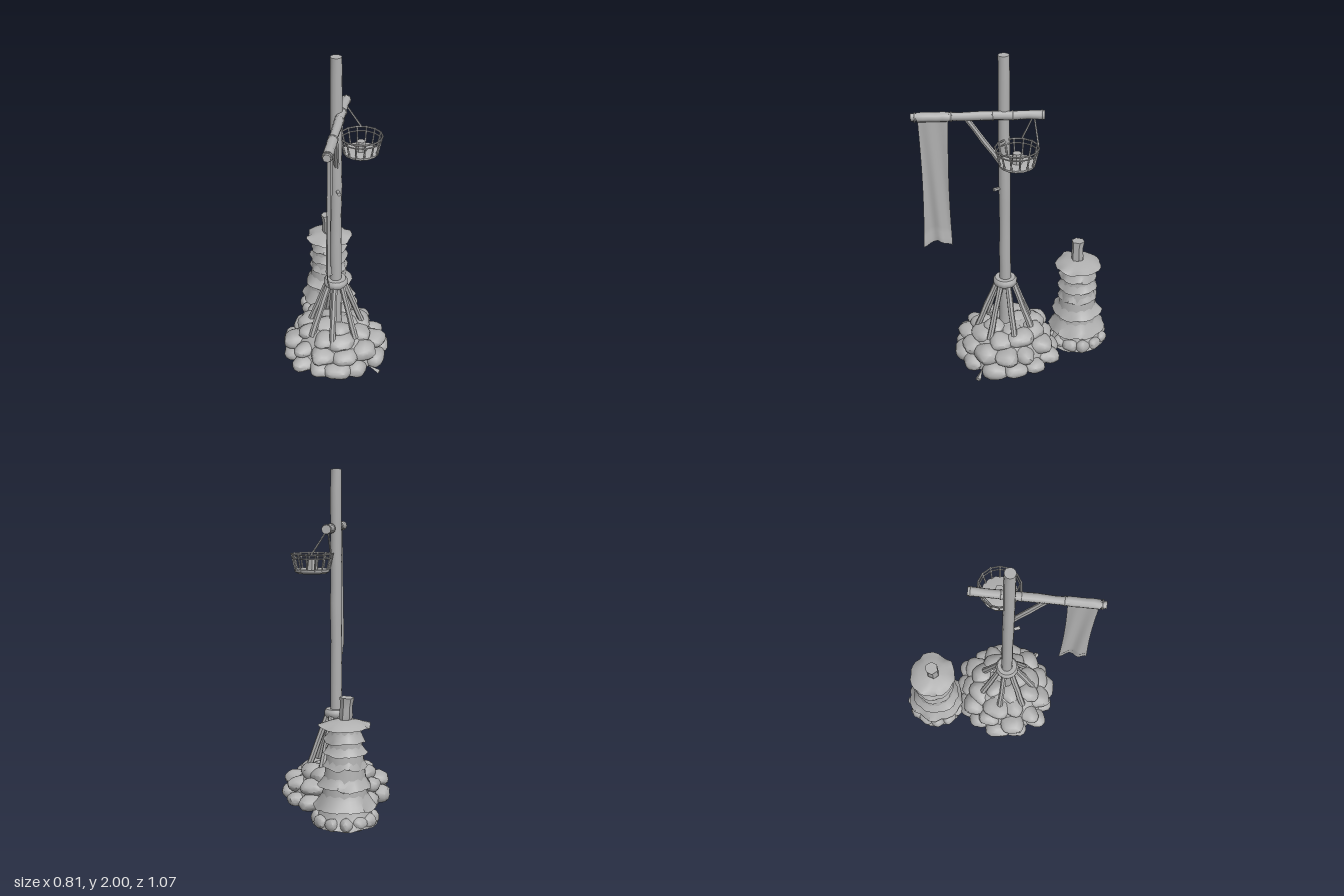
import * as THREE from 'three';
import { mergeVertices, toCreasedNormals } from 'three/addons/utils/BufferGeometryUtils.js';

const stone = new THREE.MeshStandardMaterial({ color: 0xb0b0b0, side: THREE.DoubleSide });
stone.name = 'plain grey';

const V = (x, y, z) => new THREE.Vector3(x, y, z);
const UP = V(0, 1, 0);

// repeatable noise, -1..1, from a number
function noise(n) {
  const s = Math.sin(n * 127.1 + 31.7) * 43758.5453;
  return (s - Math.floor(s)) * 2 - 1;
}

export function createModel() {
  const model = new THREE.Group();
  model.name = 'signalPost';

  function add(geo, name, parent = model, crease = 0.8) {
    const mesh = new THREE.Mesh(toCreasedNormals(geo, crease), stone);
    mesh.name = name;
    parent.add(mesh);
    return mesh;
  }
  function group(name, x = 0, y = 0, z = 0) {
    const g = new THREE.Group();
    g.name = name;
    g.position.set(x, y, z);
    model.add(g);
    return g;
  }
  // wooden pole from a to b, gently uneven along its length
  function beam(a, b, rA, rB, name, parent = model, sides = 8, segs = 1, wobble = 0) {
    const dir = b.clone().sub(a), len = dir.length();
    const geo = new THREE.CylinderGeometry(rB, rA, len, sides, segs);
    const p = geo.attributes.position;
    for (let i = 0; i < p.count; i++) {
      const k = Math.round((p.getY(i) / len + 0.5) * segs);
      const f = 1 + wobble * noise(k + len * 9);
      p.setXYZ(i, p.getX(i) * f + wobble * 0.02 * noise(k + 40), p.getY(i), p.getZ(i) * f + wobble * 0.02 * noise(k + 80));
    }
    geo.applyQuaternion(new THREE.Quaternion().setFromUnitVectors(UP, dir.normalize()));
    const m = add(geo, name, parent);
    m.position.copy(a).add(b).multiplyScalar(0.5);
    return m;
  }
  // lumpy boulder with a flat underside at floor level
  function boulder(parent, x, y, z, sx, sy, sz, yaw, seed) {
    let geo = new THREE.IcosahedronGeometry(1, 2);
    geo.deleteAttribute('normal');
    geo.deleteAttribute('uv');
    geo = mergeVertices(geo, 1e-3);
    const p = geo.attributes.position, v = V();
    for (let i = 0; i < p.count; i++) {
      v.fromBufferAttribute(p, i);
      const f = 1 + 0.1 * Math.sin(v.x * 3 + seed) + 0.08 * Math.sin(v.z * 4 + seed * 2) + 0.04 * noise(i + seed * 50);
      v.multiplyScalar(f).multiply(V(sx, sy, sz)).applyAxisAngle(UP, yaw);
      p.setXYZ(i, v.x, Math.max(v.y, 0.01 - y), v.z);
    }
    add(geo, 'boulder', parent, 0.7).position.set(x, y, z);
  }

  // rock mound: core dome and rings of boulders
  const mound = group('rockMound', 0.05, 0, 0.045);
  add(new THREE.LatheGeometry([[0, 0], [0.25, 0], [0.28, 0.03], [0.25, 0.13], [0.17, 0.22], [0, 0.25]]
    .map(([r, y]) => new THREE.Vector2(r, y)), 20), 'moundCore', mound);
  const rings = [
    // count, ring radius, height, boulder size x y z
    [13, 0.255, 0.055, 0.072, 0.05, 0.078],
    [11, 0.225, 0.13, 0.077, 0.05, 0.075],
    [8, 0.155, 0.195, 0.078, 0.05, 0.08],
    [4, 0.075, 0.225, 0.07, 0.04, 0.07],
  ];
  rings.forEach(([n, r, y, sx, sy, sz], k) => {
    for (let i = 0; i < n; i++) {
      const s = i + k * 20, a = (i + k * 0.5 + 0.15 * noise(s)) / n * Math.PI * 2;
      const rr = r * (1 + 0.05 * noise(s + 5)), g = 1 + 0.12 * noise(s + 9);
      boulder(mound, Math.cos(a) * rr, y + 0.012 * noise(s + 3), Math.sin(a) * rr * 1.06, sx * g, sy * g, sz * g, -a, s);
    }
  });
  // stray splinter beside the mound
  const splinter = add(new THREE.ConeGeometry(0.018, 0.09, 4), 'splinter');
  splinter.position.set(0.355, 0.03, 0.115);
  splinter.rotation.z = 1.3;

  // main post, collar and splayed struts
  const px = 0.055, pz = 0.05;
  beam(V(px, 0.2, pz), V(px, 2, pz), 0.037, 0.032, 'post', model, 12, 16, 0.07);
  const collar = add(new THREE.LatheGeometry([[0.03, 0.52], [0.062, 0.52], [0.073, 0.535], [0.073, 0.555], [0.062, 0.57], [0.03, 0.57]]
    .map(([r, y]) => new THREE.Vector2(r, y)), 14), 'collar');
  collar.position.set(px, 0, pz);
  const struts = group('struts');
  for (let i = 0; i < 7; i++) {
    const a = (i + 0.3) / 7 * Math.PI * 2, c = Math.cos(a), s = Math.sin(a);
    beam(V(px + c * 0.17, 0.2, pz + s * 0.18), V(px + c * 0.05, 0.54, pz + s * 0.05), 0.02, 0.018, 'strut', struts, 7, 4, 0.08);
  }
  beam(V(px + 0.02, 1.19, pz + 0.02), V(px + 0.05, 1.19, pz + 0.05), 0.009, 0.012, 'peg');

  // cross arm, lashings and brace
  const arm0 = V(0.0, 1.655, -0.17), arm1 = V(0.262, 1.655, 0.525);
  const armAt = t => arm0.clone().lerp(arm1, t);
  const armDir = arm1.clone().sub(arm0).normalize();
  beam(arm0, arm1, 0.026, 0.023, 'crossArm', model, 9, 8, 0.1);
  [0.02, 0.24, 0.39, 0.7, 0.97].forEach(t => {
    const m = add(new THREE.TorusGeometry(0.024, 0.006, 6, 12), 'lashing');
    m.position.copy(armAt(t));
    m.quaternion.setFromUnitVectors(V(0, 0, 1), armDir);
  });
  beam(V(px + 0.01, 1.34, pz + 0.01), armAt(0.6), 0.016, 0.016, 'brace', model, 7, 4, 0.08);

  // hanging cloth: folded sheet with a swallow-tail hem
  const side = V(armDir.z, 0, -armDir.x);
  const cloth = new THREE.PlaneGeometry(1, 1, 12, 24);
  const cp = cloth.attributes.position;
  for (let i = 0; i < cp.count; i++) {
    const u = cp.getX(i) * 2, d = 0.5 - cp.getY(i);
    const hem = 0.815 + 0.04 * (1 - Math.abs(u));
    const along = 0.836 + u * (0.116 - 0.014 * Math.sin(d * 3));
    const fold = 0.009 * Math.sin(u * 5 + d * 3) * (0.4 + d * 0.8) + (d > 0.94 ? 0.008 : 0);
    const q = armAt(along).addScaledVector(side, fold - 0.012 * d);
    cp.setXYZ(i, q.x, THREE.MathUtils.lerp(1.66, hem, d), q.z);
  }
  add(cloth, 'cloth', model, 1.2);
  beam(armAt(0.715), armAt(0.955), 0.028, 0.027, 'clothSleeve', model, 10, 5, 0.06);

  // fire basket: dish, ribs, double rim, candle and hanger
  const basket = group('basket', 0.157, 0, -0.058);
  add(new THREE.LatheGeometry([[0, 1.388], [0.085, 1.392], [0.103, 1.402], [0.106, 1.416], [0.095, 1.42], [0, 1.414]]
    .map(([r, y]) => new THREE.Vector2(r, y)), 14), 'basketDish', basket);
  [[0.123, 1.506, 0.005], [0.117, 1.482, 0.004]].forEach(([r, y, t]) => {
    const m = add(new THREE.TorusGeometry(r, t, 6, 14), 'basketRim', basket);
    m.position.y = y;
    m.rotation.x = Math.PI / 2;
  });
  for (let i = 0; i < 14; i++) {
    const a = i / 14 * Math.PI * 2, c = Math.cos(a), s = Math.sin(a);
    beam(V(c * 0.099, 1.41, s * 0.099), V(c * 0.123, 1.512, s * 0.123), 0.0055, 0.005, 'basketRib', basket, 5);
  }
  add(new THREE.CylinderGeometry(0.026, 0.032, 0.06, 7), 'candle', basket).position.y = 1.445;
  const hook = armAt(0.08);
  beam(V(0.036, 1.51, -0.05), hook, 0.006, 0.005, 'hanger', model, 5);
  beam(V(0.1, 1.51, -0.165), hook, 0.006, 0.005, 'hanger', model, 5);

  // shingled tower: ragged flaring skirts around a core
  const tower = group('shingleTower', -0.213, 0, -0.343);
  add(new THREE.CylinderGeometry(0.085, 0.15, 0.58, 14), 'towerCore', tower).position.y = 0.3;
  const skirts = [
    // top y, top radius, hem y, hem radius
    [0.13, 0.135, 0.02, 0.185],
    [0.23, 0.115, 0.115, 0.178],
    [0.32, 0.105, 0.235, 0.155],
    [0.42, 0.095, 0.345, 0.125],
    [0.49, 0.09, 0.415, 0.122],
    [0.56, 0.085, 0.49, 0.117],
    [0.61, 0.03, 0.57, 0.145],
  ];
  skirts.forEach(([y0, r0, y1, r1], k) => {
    const n = 28, geo = new THREE.CylinderGeometry(1, 1, 1, n, 4, true);
    const p = geo.attributes.position;
    for (let i = 0; i < p.count; i++) {
      const d = 0.5 - p.getY(i), col = i % (n + 1) % n;
      const j = d * d * noise(Math.floor(col / 2) + k * 31), tip = d * (col % 4 === 0 ? 0.05 : 0);
      const r = (r0 + (r1 - r0) * (k === 6 ? Math.sqrt(d) : d ** 1.4)) * (1 + 0.06 * j - tip);
      p.setXYZ(i, p.getX(i) * r, Math.max(0.01, y0 + (y1 - y0) * d + 0.013 * j), p.getZ(i) * r);
    }
    add(geo, k === 6 ? 'towerCap' : 'shingleSkirt', tower, 0.6);
  });
  // rubble around the tower foot
  for (let i = 0; i < 12; i++) {
    const a = i / 12 * Math.PI * 2;
    boulder(tower, Math.cos(a) * 0.15, 0.045, Math.sin(a) * 0.15, 0.042, 0.04, 0.045, -a, i + 90);
  }
  beam(V(0.005, 0.58, 0.01), V(-0.005, 0.735, 0.01), 0.034, 0.04, 'towerStump', tower, 6, 3, 0.12);

  return model;
}
